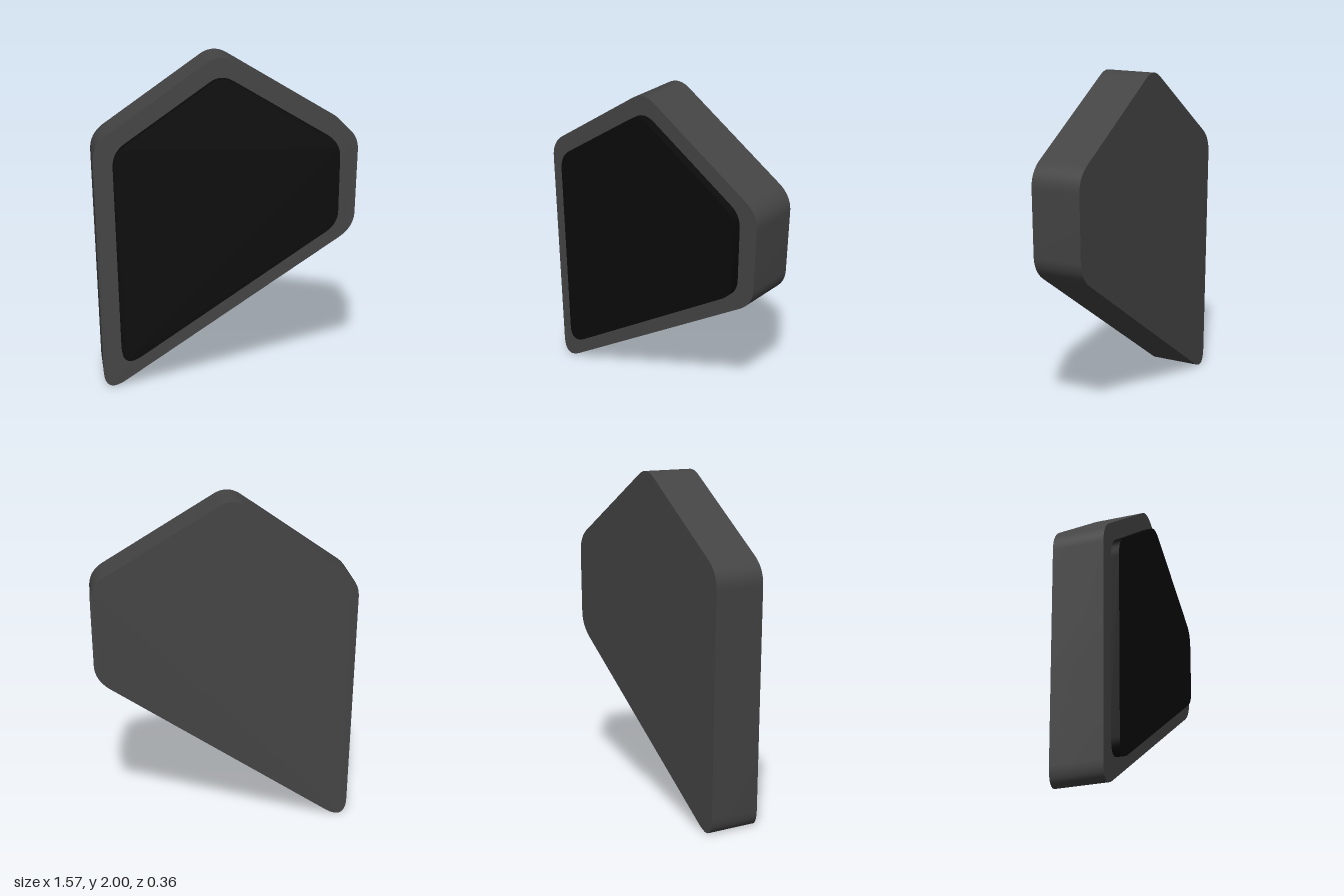
import * as THREE from 'three';
import { toCreasedNormals } from 'three/addons/utils/BufferGeometryUtils.js';

// Each corner: curve start, control point, curve end (counter-clockwise seen from the front)
const bodyCorners = [
  [-0.757, 0.10, -0.753, -0.058, -0.62, 0.031],
  [0.68, 0.888, 0.771, 0.948, 0.776, 1.04],
  [0.785, 1.43, 0.787, 1.527, 0.70, 1.58],
  [0.04, 1.979, -0.043, 2.029, -0.125, 1.971],
  [-0.70, 1.57, -0.788, 1.509, -0.786, 1.41],
];
const panelCorners = [
  [-0.646, 0.26, -0.643, 0.125, -0.52, 0.207],
  [0.59, 0.943, 0.662, 0.991, 0.664, 1.07],
  [0.667, 1.40, 0.668, 1.486, 0.60, 1.527],
  [0.04, 1.865, -0.034, 1.909, -0.10, 1.863],
  [-0.60, 1.515, -0.673, 1.464, -0.671, 1.37],
];

// Rounded polygon slab between two depths
function slab(name, corners, zBack, zFront, color) {
  const shape = new THREE.Shape();
  corners.forEach(([ax, ay, cx, cy, bx, by], i) => {
    if (i === 0) shape.moveTo(ax, ay);
    else shape.lineTo(ax, ay);
    shape.quadraticCurveTo(cx, cy, bx, by);
  });
  shape.closePath();
  const extruded = new THREE.ExtrudeGeometry(shape, {
    depth: zFront - zBack, bevelEnabled: false, curveSegments: 16,
  });
  extruded.translate(0, 0, zBack);
  const mesh = new THREE.Mesh(
    toCreasedNormals(extruded, 0.6),
    new THREE.MeshStandardMaterial({ color }),
  );
  mesh.name = name;
  return mesh;
}

export function createModel() {
  const model = new THREE.Group();
  model.name = 'fivesidedPlaque';
  // Thick body with a thinner raised panel on its front
  model.add(slab('body', bodyCorners, -0.18, 0.13, 0x444444));
  model.add(slab('frontPanel', panelCorners, 0.12, 0.18, 0x0a0a0a));
  return model;
}
